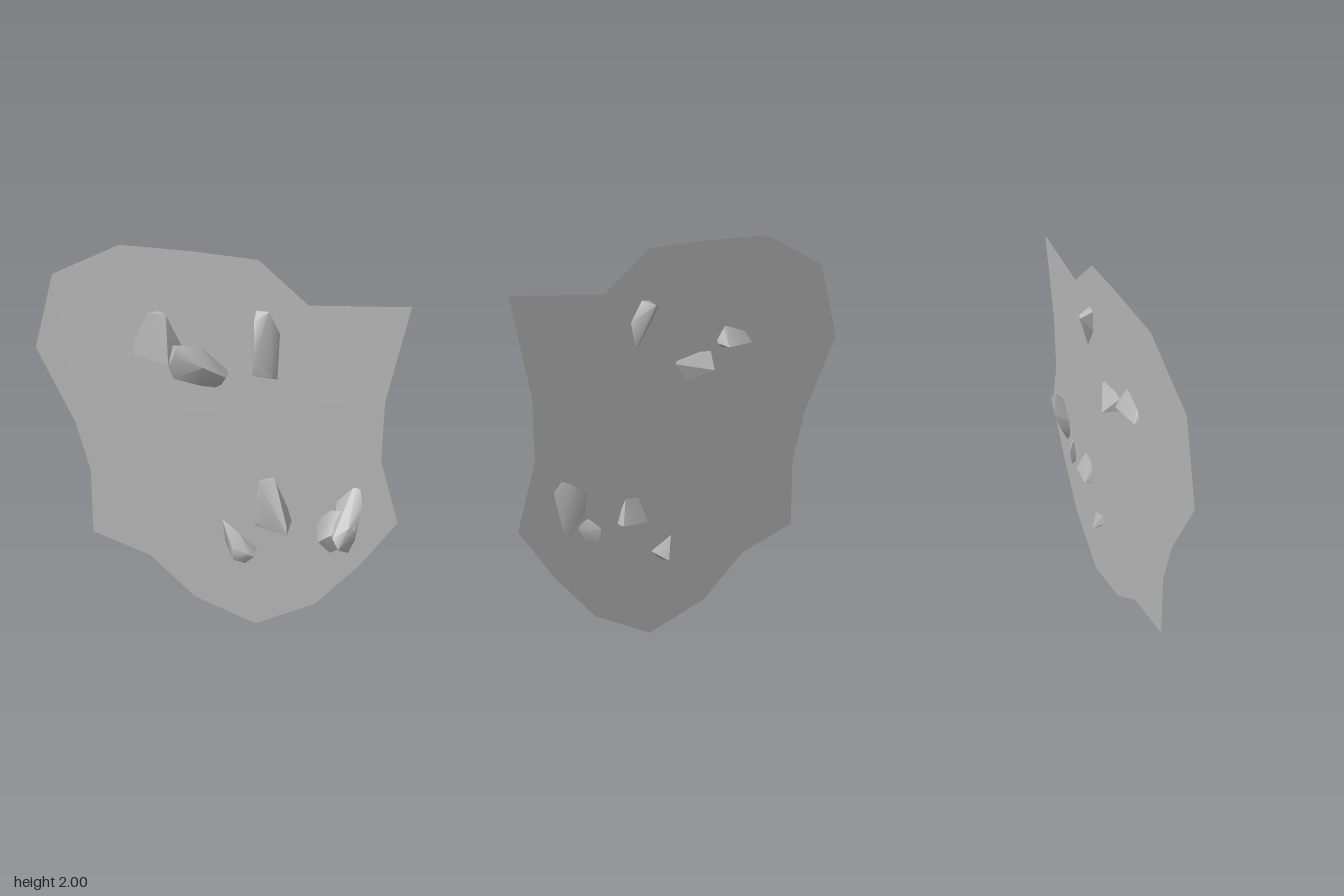
import * as THREE from 'three';
import { ConvexGeometry } from 'three/addons/geometries/ConvexGeometry.js';
import { toCreasedNormals } from 'three/addons/utils/BufferGeometryUtils.js';

const stone = new THREE.MeshStandardMaterial({ color: 0xb4b4b4, side: THREE.DoubleSide });
stone.name = 'grey stone';

// Corner points [x, y, z] of each faceted rock
const rocks = {
  upperRightRock: [
    [-.37, 1.465, -.07], [-.2, 1.46, -.1], [-.14, 1.49, 0], [-.175, 1.445, .09], [-.375, 1.47, .04],
    [-.38, 1.53, .03], [-.14, 1.53, 0], [-.29, 1.7, .06], [-.2, 1.69, .05], [-.24, 1.7, .03],
  ],
  upperMiddleRock: [
    [-.165, 1.54, .05], [-.125, 1.555, .09], [-.015, 1.545, .05], [.095, 1.4, -.055], [.09, 1.38, -.015],
    [.04, 1.31, -.06], [-.155, 1.375, .07], [-.09, 1.36, -.125], [-.175, 1.445, .09], [-.14, 1.5, .11],
    [-.03, 1.335, .015], [.005, 1.45, .08],
  ],
  upperLeftRock: [
    [.235, 1.7, -.11], [.245, 1.735, 0], [.31, 1.735, 0], [.25, 1.71, -.115], [.355, 1.62, -.04],
    [.355, 1.4, -.015], [.35, 1.43, .07], [.27, 1.45, .13], [.275, 1.54, .12], [.235, 1.52, .03],
    [.25, 1.69, .05],
  ],
  middleRock: [
    [.29, .885, .06], [.375, .89, .05], [.35, .89, .005], [.455, .68, .11], [.46, .635, .12],
    [.435, .635, -.09], [.29, .63, -.09], [.27, .62, .03], [.265, .65, .03], [.35, .64, .08],
  ],
  lowestRock: [
    [.08, .615, 0], [.09, .49, -.02], [.18, .55, .01], [.26, .46, -.035], [.265, .44, .03],
    [.235, .46, .05], [.155, .49, .06], [.16, .42, .06], [.215, .39, .02], [.17, .395, -.095],
  ],
  tallSideRock: [
    [.765, .925, -.085], [.66, .86, -.135], [.74, .92, -.125], [.81, .8, 0], [.8, .7, .04],
    [.79, .63, .05], [.655, .75, -.1], [.69, .65, .11], [.725, .6, .13], [.75, .53, 0],
    [.7, .58, .05], [.76, .7, .08],
  ],
  wideSideRock: [
    [.56, .65, -.085], [.565, .56, -.07], [.655, .75, 0], [.725, .765, .02], [.79, .7, .06],
    [.77, .6, .05], [.66, .525, .02], [.61, .6, .07], [.67, .65, .085], [.64, .65, -.06],
  ],
};

export function createModel() {
  const model = new THREE.Group();
  model.name = 'rockySheet';

  // Flat sheet with a ragged outline
  const outline = [
    [.26, 0], [.58, .18], [.8, .44], [.98, .71], [.88, 1.03], [.88, 1.33], [.975, 1.8], [.49, 1.77], [.24, 1.97],
    [-.08, 1.99], [-.48, 2], [-.86, 1.83], [-.98, 1.43], [-.77, 1.04], [-.69, .77], [-.69, .4], [-.35, .31], [-.09, .1],
  ].map(p => new THREE.Vector2(...p));
  const sheet = new THREE.Mesh(new THREE.ShapeGeometry(new THREE.Shape(outline)), stone);
  sheet.name = 'sheet';
  sheet.position.z = -.045;
  model.add(sheet);

  // Rocks poking through both sides of the sheet
  for (const [name, corners] of Object.entries(rocks)) {
    const hull = new ConvexGeometry(corners.map(c => new THREE.Vector3(...c)));
    const rock = new THREE.Mesh(toCreasedNormals(hull, .75), stone);
    rock.name = name;
    model.add(rock);
  }
  return model;
}
